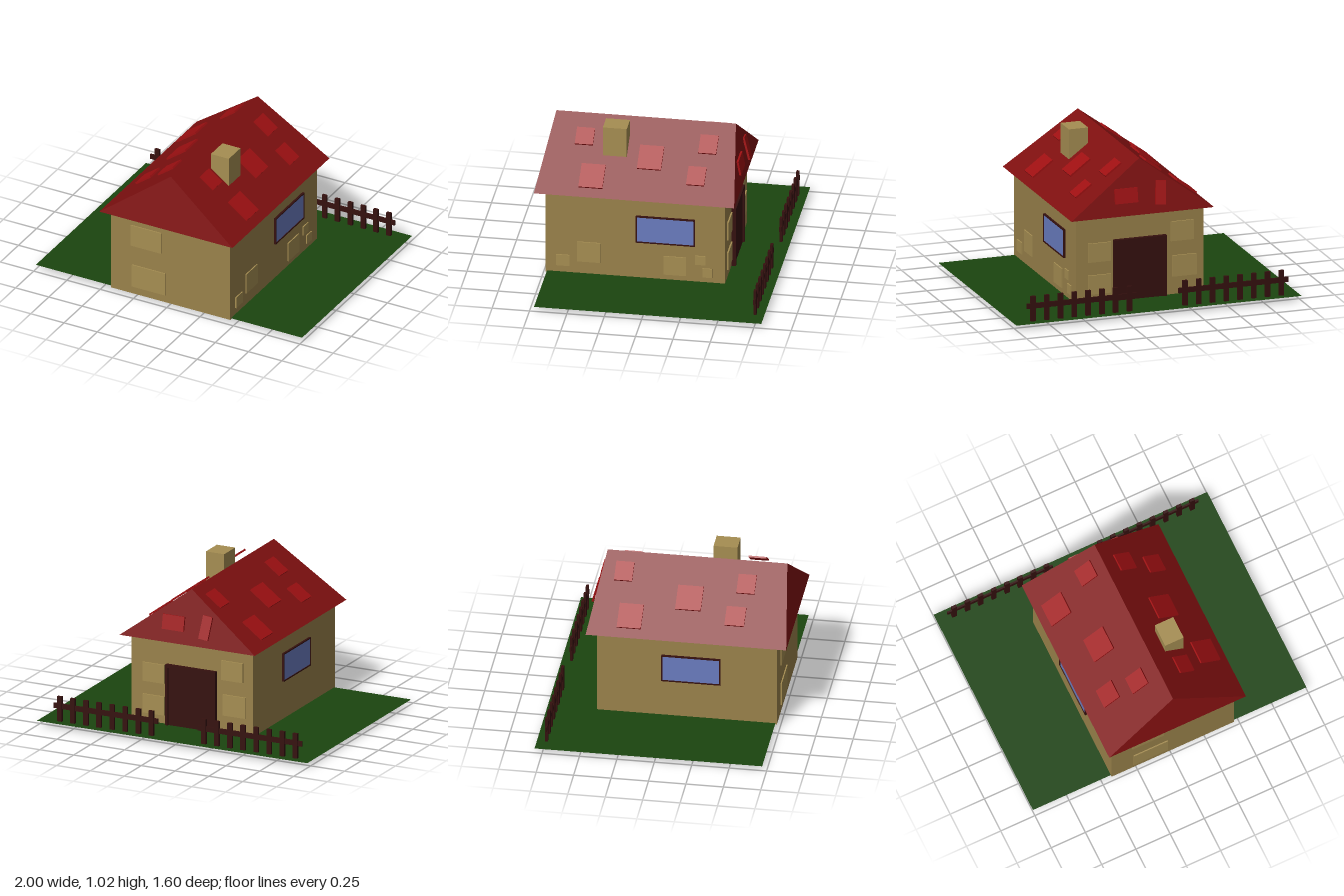
import * as THREE from 'three';

const material = (color, side = THREE.FrontSide) => {
  const m = new THREE.MeshStandardMaterial({ color, side });
  m.flatShading = true;
  return m;
};

export function createModel() {
  const model = new THREE.Group();
  const wall = material(0x9a824b), stone = material(0xa68e52), wood = material(0x35100e);
  const roofRed = material(0x801010), tileRed = material(0xa01012);
  const glass = material(0x6a7cc0), grass = material(0x1b450f, THREE.DoubleSide);

  // Box from its lower and upper limits on each axis
  function box(name, mat, [x0, x1], [y0, y1], [z0, z1], parent = model) {
    const mesh = new THREE.Mesh(new THREE.BoxGeometry(x1 - x0, y1 - y0, z1 - z0), mat);
    mesh.position.set((x0 + x1) / 2, (y0 + y1) / 2, (z0 + z1) / 2);
    mesh.name = name;
    parent.add(mesh);
    return mesh;
  }

  // Lawn
  const lawn = new THREE.Mesh(new THREE.PlaneGeometry(2, 1.52), grass);
  lawn.rotation.x = -Math.PI / 2;
  lawn.position.set(0, 0.033, -0.04);
  lawn.name = 'lawn';
  model.add(lawn);

  // House body and chimney
  box('walls', wall, [-0.43, 0.465], [0.025, 0.624], [-0.47, 0.73]);
  box('chimney', stone, [0.13, 0.265], [0.78, 1.02], [0.22, 0.38]);

  // Roof with slightly sloping ends
  const EAVE = 0.625, RIDGE = 0.995, MID = 0.02;
  const corners = [
    [-0.48, EAVE, 0.8], [0.52, EAVE, 0.8], [0.52, EAVE, -0.54], [-0.48, EAVE, -0.54],
    [MID, RIDGE, 0.73], [MID, RIDGE, -0.47],
  ];
  const faces = [0, 1, 4, 1, 2, 5, 1, 5, 4, 2, 3, 5, 3, 0, 4, 3, 4, 5, 0, 3, 2, 0, 2, 1];
  const roofGeometry = new THREE.BufferGeometry();
  roofGeometry.setAttribute('position',
    new THREE.Float32BufferAttribute(faces.flatMap((i) => corners[i]), 3));
  roofGeometry.computeVertexNormals();
  const roof = new THREE.Mesh(roofGeometry, roofRed);
  roof.name = 'roof';
  model.add(roof);

  // Loose roof tiles on the two long slopes: x range, z range, lift above the slope
  const slope = Math.atan((RIDGE - EAVE) / 0.5);
  const tiles = [
    [0.11, 0.22, -0.37, -0.25, 0.012], [0.30, 0.41, -0.32, -0.20, 0.01],
    [0.20, 0.34, -0.02, 0.14, 0.015], [0.33, 0.47, 0.35, 0.51, 0.01],
    [0.15, 0.25, 0.45, 0.57, 0.05],
    [-0.43, -0.29, -0.34, -0.18, 0.01], [-0.16, -0.05, -0.40, -0.28, 0.01],
    [-0.30, -0.16, 0.03, 0.20, 0.01], [-0.37, -0.26, 0.37, 0.50, 0.01],
    [-0.18, -0.07, 0.42, 0.54, 0.01],
  ];
  for (const [x0, x1, z0, z1, lift] of tiles) {
    const x = (x0 + x1) / 2;
    const tile = new THREE.Mesh(
      new THREE.BoxGeometry((x1 - x0) / Math.cos(slope), 0.012, z1 - z0), tileRed);
    tile.position.set(x, RIDGE - Math.abs(x - MID) * Math.tan(slope) + lift, (z0 + z1) / 2);
    tile.rotation.z = -Math.sign(x - MID) * slope;
    tile.name = 'roofTile';
    model.add(tile);
  }

  // Two tiles on the back end of the roof
  const wideTile = box('backRoofTile', tileRed, [0.05, 0.21], [0.71, 0.81], [-0.528, -0.514]);
  wideTile.rotation.x = 0.19;
  const tallTile = box('backRoofTile', tileRed, [-0.145, -0.075], [0.68, 0.84], [-0.532, -0.518]);
  tallTile.rotation.set(0.26, 0, 0.1);

  // Raised stones on the front, back and left walls
  const frontStones = [[-0.28, -0.05, 0.39, 0.545], [-0.27, -0.02, 0.08, 0.245]];
  const backStones = [
    [0.22, 0.38, 0.31, 0.44], [0.22, 0.38, 0.09, 0.22],
    [-0.36, -0.20, 0.40, 0.535], [-0.38, -0.21, 0.155, 0.30],
  ];
  const sideStones = [
    [0.36, 0.52, 0.12, 0.265], [0.57, 0.66, 0.08, 0.16], [-0.21, -0.06, 0.07, 0.205],
    [-0.34, -0.27, 0.16, 0.225], [-0.385, -0.32, 0.07, 0.135],
  ];
  for (const [a, b, y0, y1] of frontStones) box('frontStone', stone, [a, b], [y0, y1], [0.72, 0.738]);
  for (const [a, b, y0, y1] of backStones) box('backStone', stone, [a, b], [y0, y1], [-0.48, -0.46]);
  for (const [a, b, y0, y1] of sideStones) box('sideStone', stone, [0.455, 0.473], [y0, y1], [a, b]);

  // Side windows: four frame bars around a pane
  function sideWindow(name, x0, x1, z0, z1) {
    const group = new THREE.Group();
    group.name = name;
    const y0 = 0.295, y1 = 0.49, t = 0.008;
    for (const z of [z0, z1 - t]) box('windowFrame', wood, [x0, x1], [y0, y1], [z, z + t], group);
    for (const y of [y0, y1 - t]) box('windowFrame', wood, [x0, x1], [y, y + t], [z0, z1], group);
    box('windowPane', glass, [x0 + 0.005, x1 - 0.005], [y0 + t, y1 - t], [z0 + t, z1 - t], group);
    model.add(group);
  }
  sideWindow('leftWindow', 0.455, 0.48, -0.27, 0.125);
  sideWindow('rightWindow', -0.445, -0.42, -0.04, 0.355);

  // Back door with its frame
  const door = new THREE.Group();
  door.name = 'door';
  box('doorPanel', wood, [-0.15, 0.19], [0, 0.44], [-0.488, -0.457], door);
  for (const x of [-0.165, 0.185]) box('doorPost', wood, [x, x + 0.02], [0, 0.452], [-0.5, -0.457], door);
  box('doorLintel', wood, [-0.165, 0.205], [0.432, 0.452], [-0.5, -0.457], door);
  model.add(door);

  // Two lengths of picket fence behind the house
  for (const start of [-0.93, 0.135]) {
    const fence = new THREE.Group();
    fence.name = 'fence';
    box('fenceRail', wood, [start, start + 0.77], [0.12, 0.155], [-0.742, -0.73], fence);
    for (let i = 0; i < 8; i++) {
      const x = start + 0.05 + i * 0.0965;
      box('fencePicket', wood, [x - 0.017, x + 0.017], [0.02, 0.205], [-0.746, -0.727], fence);
    }
    model.add(fence);
  }

  return model;
}
